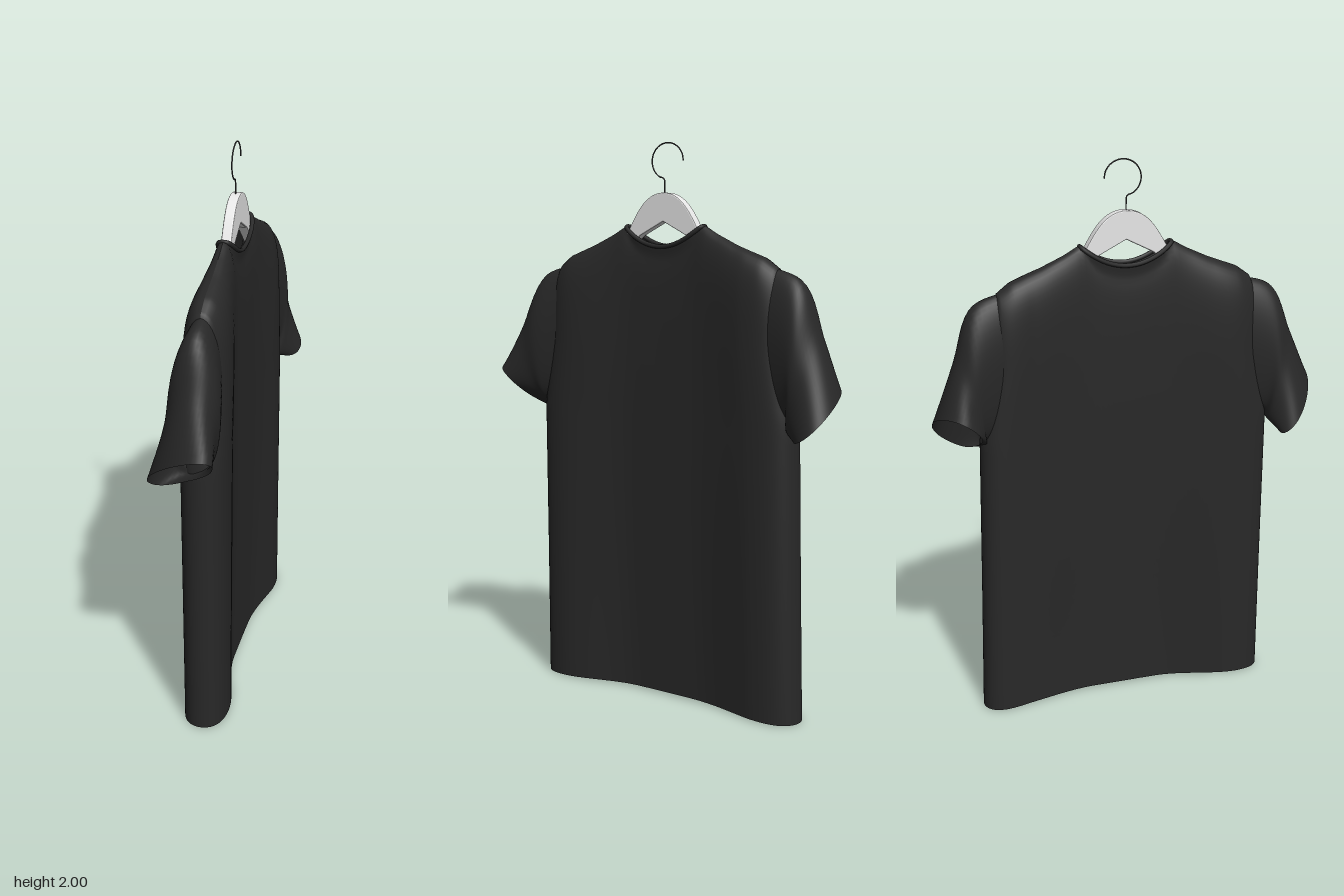
import * as THREE from 'three';

const V = (x, y, z) => new THREE.Vector3(x, y, z);
const { smoothstep, lerp } = THREE.MathUtils;
const NECK = 0.335;

// Piecewise linear lookup in a short list of [input, output] pairs
function lookup(points, t) {
  for (let i = 1; i < points.length; i++) {
    const [a, va] = points[i - 1], [b, vb] = points[i];
    if (t <= b) return va + (vb - va) * Math.max(0, (t - a) / (b - a));
  }
  return points[points.length - 1][1];
}

// Smooth open tube skinned over rows of closed cross-sections
function skin(cols, rows, point) {
  const pos = [], index = [];
  for (let j = 0; j <= rows; j++)
    for (let i = 0; i < cols; i++) pos.push(...point((i / cols) * Math.PI * 2, j / rows).toArray());
  for (let j = 0; j < rows; j++)
    for (let i = 0; i < cols; i++) {
      const a = j * cols + i, b = j * cols + (i + 1) % cols;
      index.push(a, a + cols, b, b, a + cols, b + cols);
    }
  const g = new THREE.BufferGeometry();
  g.setAttribute('position', new THREE.Float32BufferAttribute(pos, 3));
  g.setIndex(index);
  g.computeVertexNormals();
  return g;
}

const halfWidth = [[0, 0.549], [0.5, 0.543], [1.05, 0.538], [1.3, 0.5], [1.56, 0.49], [1.8, 0.49]];
const middleZ = [[0, -0.025], [1.05, -0.01], [1.8, -0.01]];
const middleX = [[-1, 0.01], [-0.7, 0.022], [0, 0.015], [1, 0.01]];
const shoulder = [[NECK, 1.715], [0.45, 1.683], [0.62, 1.645], [0.84, 1.605], [0.94, 1.57], [1, 1.5]];

// Height of the top edge: neckline in the middle, shoulder slope outside
function topEdge(u) {
  const a = Math.abs(u);
  return a < NECK ? 1.645 + 0.07 * (a / NECK) ** 2 : lookup(shoulder, a);
}
const neckGap = u => 0.031 * Math.sqrt(Math.max(0, 1 - (u / 0.342) ** 6));

// Torso: pinched in the middle, fuller at the sides, closed along the shoulders
function torsoPoint(angle, t) {
  const u = Math.cos(angle), a = Math.abs(u), side = Math.sin(angle) >= 0 ? 1 : -1;
  const v = 1 - (1 - t) ** 1.6;
  const y = v * topEdge(u) + 0.008 * (1 - t) * (1 - a * a);
  const pinch = lerp(0.024, 0.04, smoothstep(y, 0, 1.2));
  let h = lerp(pinch, 0.082, smoothstep(a, 0.22, u > 0 ? 0.82 : 0.95));
  h *= Math.sqrt(Math.max(0, 1 - a ** 12)) * Math.sqrt(Math.max(0, 1 - v ** 20));
  h = Math.max(h, neckGap(u) * smoothstep(v, 0.88, 1));
  return V(lookup(middleX, u) + side * h, y, lookup(middleZ, y) + u * lookup(halfWidth, y));
}

// Sleeve rings: centre, axis across the sleeve, axis toward the underarm.
// The first ring is sunk into the torso so that the armhole is closed.
const leftRings = [
  [V(0.012, 1.315, 0.43), V(0.062, 0, 0), V(0, -0.255, 0.03)],
  [V(0.01, 1.29, 0.525), V(0.083, 0, 0), V(0, -0.235, -0.012)],
  [V(0, 1.195, 0.573), V(0.09, 0.03, 0.02), V(0, -0.155, -0.045)],
  [V(-0.02, 1.09, 0.632), V(0.12, 0.065, 0.048), V(0, -0.06, -0.062)],
];
const rightRings = [
  [V(0.014, 1.32, -0.45), V(-0.06, 0, 0), V(0, -0.26, -0.025)],
  [V(0.012, 1.288, -0.547), V(-0.083, 0, 0), V(0, -0.238, 0.014)],
  [V(0.012, 1.185, -0.58), V(-0.09, 0.03, 0), V(0, -0.155, 0.05)],
  [V(0.015, 1.085, -0.63), V(-0.125, 0.06, 0.02), V(0, -0.052, 0.072)],
];
// The underarm half of each ring is squarer, so that it tucks around the torso
function sleeve(rings) {
  const [c, a, b] = [0, 1, 2].map(k => new THREE.CatmullRomCurve3(rings.map(r => r[k])));
  return skin(48, 20, (angle, t) => {
    const s = Math.sin(angle), k = Math.cos(angle);
    const across = s > 0 ? Math.sign(k) * Math.abs(k) ** 0.65 : k;
    return c.getPoint(t).addScaledVector(a.getPoint(t), across).addScaledVector(b.getPoint(t), s);
  });
}

export function createModel() {
  const model = new THREE.Group();
  const fabric = new THREE.MeshStandardMaterial({ color: 0x282828, side: THREE.DoubleSide });
  fabric.name = 'black fabric';
  const plastic = new THREE.MeshStandardMaterial({ color: 0xe8e8e8 });
  plastic.name = 'pale grey hanger';
  const metal = new THREE.MeshStandardMaterial({ color: 0x404040 });
  metal.name = 'hook metal';
  const add = (name, geometry, material) => {
    const m = new THREE.Mesh(geometry, material);
    m.name = name;
    model.add(m);
  };

  // Shirt
  add('torso', skin(160, 40, torsoPoint), fabric);
  add('leftSleeve', sleeve(leftRings), fabric);
  add('rightSleeve', sleeve(rightRings), fabric);

  // Collar edge following the neckline
  const rim = [];
  for (let i = 0; i < 32; i++) {
    const angle = (i / 32) * Math.PI * 2, u = NECK * Math.cos(angle);
    const side = Math.sign(Math.round(Math.sin(angle) * 1e6));
    rim.push(V(lookup(middleX, u) + side * neckGap(u), topEdge(u) - 0.006, -0.01 + u * 0.49));
  }
  add('collar', new THREE.TubeGeometry(new THREE.CatmullRomCurve3(rim, true), 96, 0.008, 8, true), fabric);

  // Hanger: arched bar with arms running down inside the shoulders
  const bar = new THREE.Shape();
  bar.moveTo(0, 1.822);
  bar.bezierCurveTo(0.07, 1.822, 0.105, 1.765, 0.142, 1.7);
  bar.quadraticCurveTo(0.18, 1.635, 0.4, 1.47);
  bar.lineTo(0.39, 1.44);
  bar.lineTo(0.1, 1.68);
  bar.lineTo(0, 1.73);
  bar.lineTo(-0.1, 1.68);
  bar.lineTo(-0.39, 1.44);
  bar.lineTo(-0.4, 1.47);
  bar.quadraticCurveTo(-0.18, 1.635, -0.142, 1.7);
  bar.bezierCurveTo(-0.105, 1.765, -0.07, 1.822, 0, 1.822);
  const barGeometry = new THREE.ExtrudeGeometry(bar, {
    depth: 0.026, bevelThickness: 0.005, bevelSize: 0.004, bevelSegments: 2, curveSegments: 16,
  });
  barGeometry.translate(0, 0, -0.013).rotateY(-Math.PI / 2).translate(0.017, 0, -0.012);
  add('hangerBar', barGeometry, plastic);

  // Wire hook: short stem, then an open loop running round to the tip
  const wire = [V(0.016, 1.8, -0.008), V(0.016, 1.85, -0.008)];
  for (let i = 0; i <= 12; i++) {
    const angle = -1.8 - (i / 12) * (Math.PI * 2 - 1.8);
    wire.push(V(0.016, 1.935 + 0.063 * Math.sin(angle), -0.02 - 0.066 * Math.cos(angle)));
  }
  add('hook', new THREE.TubeGeometry(new THREE.CatmullRomCurve3(wire), 60, 0.0025, 8), metal);

  return model;
}
